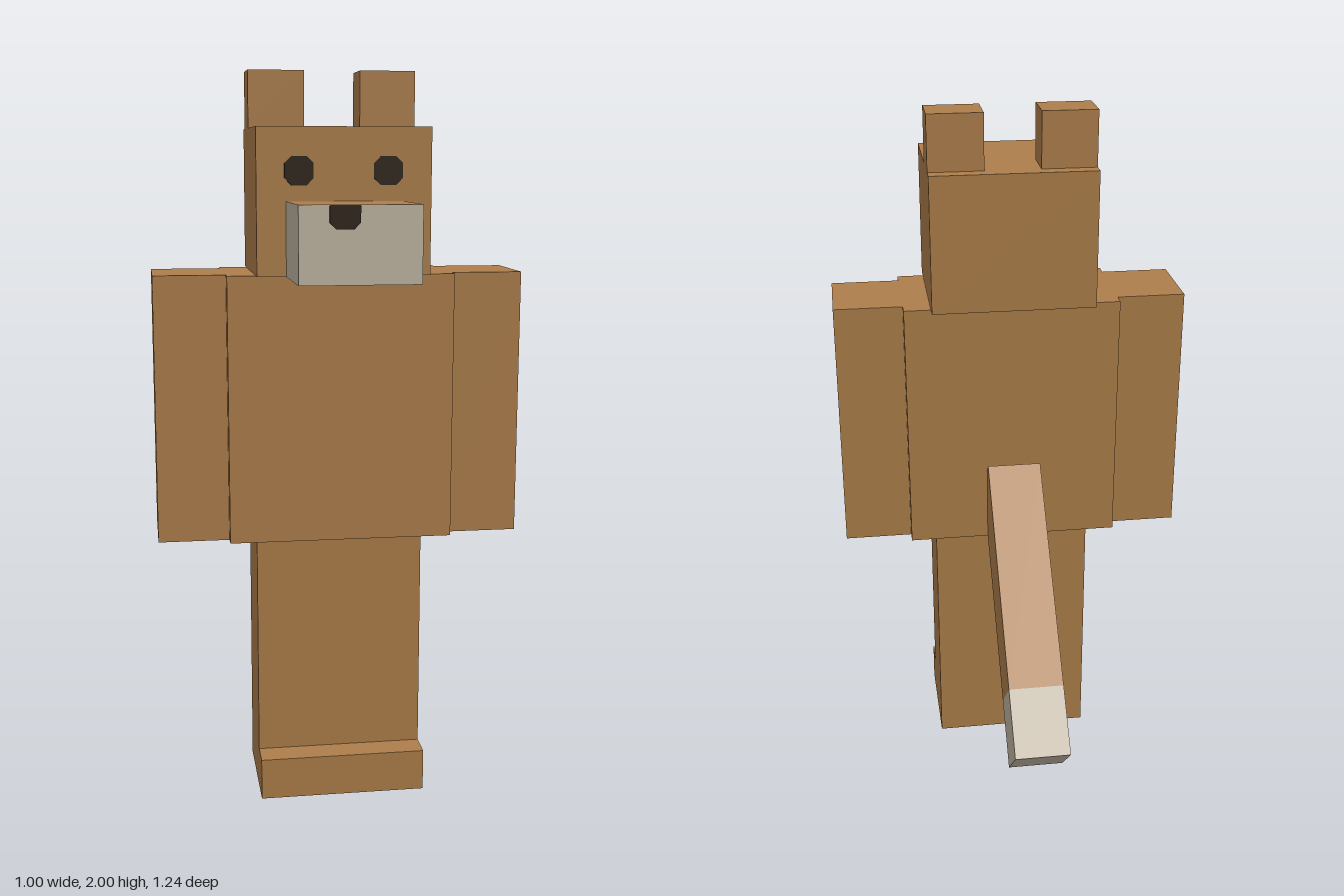
import * as THREE from 'three';

export function createModel() {
  const model = new THREE.Group();
  const mat = (name, color) => {
    const m = new THREE.MeshStandardMaterial({ color });
    m.name = name;
    return m;
  };
  const brown = mat('brown fur', 0xad7e4a);
  const pale = mat('pale fur', 0xbfb5a2);
  const dark = mat('dark features', 0x2a1e0f);

  const add = (name, geometry, material, parent = model) => {
    const mesh = new THREE.Mesh(geometry, material);
    mesh.name = name;
    parent.add(mesh);
    return mesh;
  };
  // Box given by its extents on each axis
  const box = (name, [x0, x1], [y0, y1], [z0, z1], material, parent) => {
    const g = new THREE.BoxGeometry(x1 - x0, y1 - y0, z1 - z0);
    const mesh = add(name, g, material, parent);
    mesh.position.set((x0 + x1) / 2, (y0 + y1) / 2, (z0 + z1) / 2);
    return mesh;
  };

  // Joined legs with feet
  box('legs', [-0.23, 0.23], [0.115, 0.735], [0.042, 0.273], brown);
  box('feet', [-0.23, 0.23], [0, 0.115], [0.042, 0.35], brown);

  // Body and head
  box('torso', [-0.306, 0.306], [0.735, 1.462], [0.004, 0.311], brown);
  box('head', [-0.23, 0.23], [1.462, 1.846], [-0.035, 0.35], brown);

  // Pale muzzle with a brown upper face
  box('muzzle', [-0.153, 0.153], [1.462, 1.656], [0.35, 0.618],
    [pale, pale, brown, pale, pale, pale]);

  // Thin plate with clipped corners: t at the top, b at the bottom
  const plate = (name, w, h, t, b, x, y, z) => {
    const u = w / 2, v = h / 2;
    const s = new THREE.Shape([
      [-u + b, -v], [u - b, -v], [u, -v + b], [u, v - t],
      [u - t, v], [-u + t, v], [-u, v - t], [-u, -v + b],
    ].map(p => new THREE.Vector2(...p)));
    const g = new THREE.ExtrudeGeometry(s, { depth: 0.004, bevelEnabled: false });
    add(name, g, dark).position.set(x, y, z);
  };
  plate('nose', 0.076, 0.058, 0.001, 0.016, -0.039, 1.626, 0.617);

  // Mirrored arms, ears and eyes
  for (const [label, s] of [['left', 1], ['right', -1]]) {
    const span = (a, b) => (s > 0 ? [a, b] : [-b, -a]);
    box(label + 'Arm', span(0.306, 0.5), [0.735, 1.462], [0.042, 0.273], brown);
    box(label + 'Ear', span(0.077, 0.23), [1.846, 2], [0.004, 0.119], brown);
    plate(label + 'Eye', 0.076, 0.074, 0.018, 0.018, s * 0.117 - 0.002, 1.734, 0.349);
  }

  // Tail slanting down and back, with a pale tip
  const tail = new THREE.Group();
  tail.name = 'tail';
  tail.position.set(0, 0.912, 0.048);
  tail.rotation.x = -Math.PI / 4;
  box('tailShaft', [-0.077, 0.077], [-0.096, 0.096], [-0.655, 0], brown, tail);
  box('tailTip', [-0.077, 0.077], [-0.096, 0.096], [-0.846, -0.655], pale, tail);
  model.add(tail);

  return model;
}
